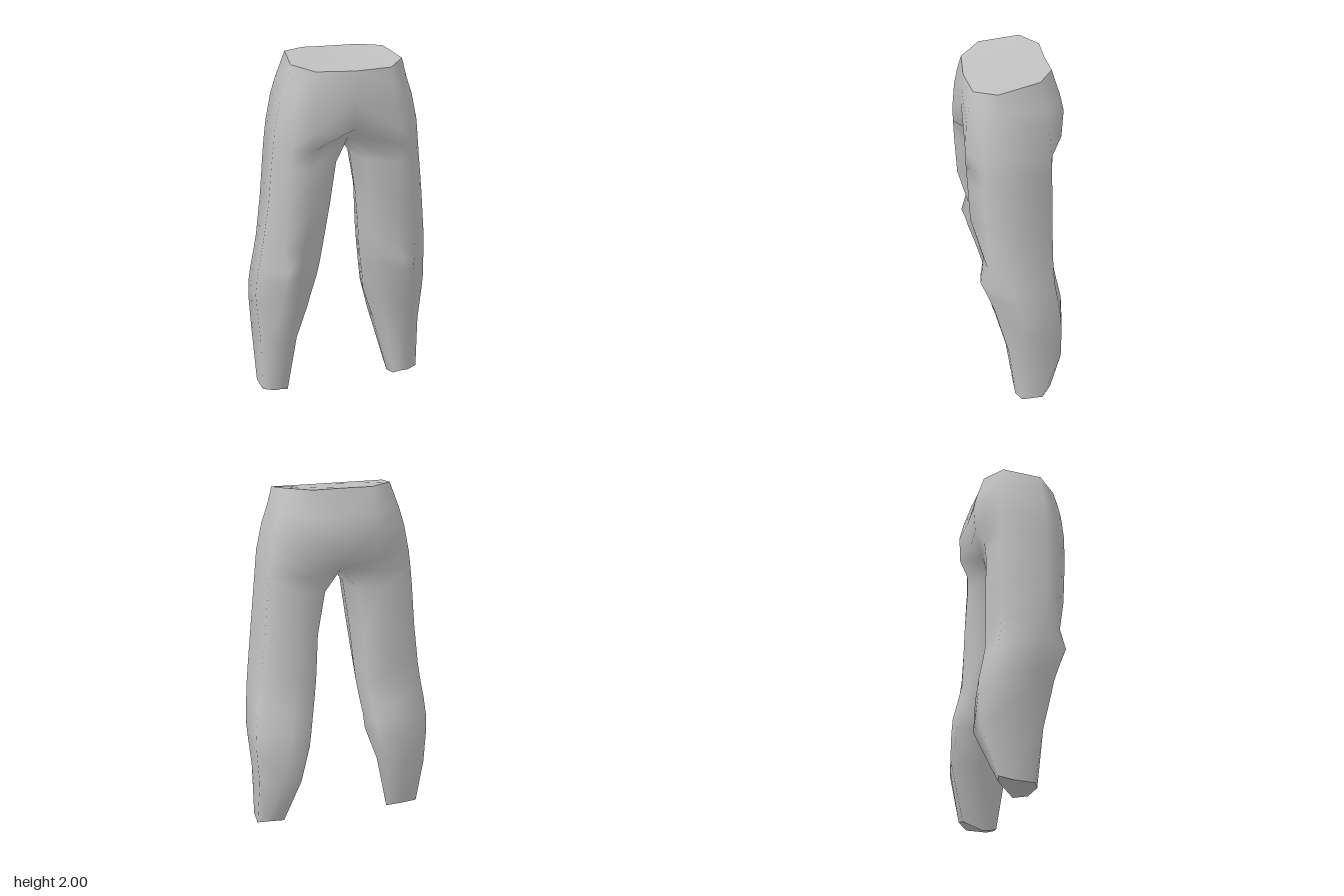
import * as THREE from 'three';
import { mergeVertices } from 'three/addons/utils/BufferGeometryUtils.js';

// Cross-sections of the left half as [x, z] pairs, running
// front centre, front, front outer, outer, back outer, back, back centre (and inner for the leg).
const pelvis = [
  { y: [1.935, 1.94, 1.952, 1.965, 2, 2, 2], p: [0, .235, .21, .215, .262, .16, .315, .105, .285, -.115, .16, -.2, 0, -.195] },
  { y: 1.86, p: [0, .245, .215, .238, .285, .175, .343, .105, .335, -.135, .175, -.245, 0, -.235] },
  { y: 1.77, p: [0, .25, .225, .255, .31, .185, .375, .105, .36, -.15, .18, -.265, 0, -.258] },
  { y: 1.62, p: [0, .235, .238, .267, .34, .19, .408, .105, .388, -.16, .19, -.255, 0, -.235] },
];

const thigh = [
  { y: [1.55, 1.53, 1.53, 1.53, 1.53, 1.53, 1.55, 1.51], p: [0, .12, .24, .266, .345, .19, .417, .105, .4, -.16, .21, -.205, 0, -.16, 0, -.02] },
  { y: 1.43, p: [.085, .17, .25, .262, .35, .19, .428, .1, .41, -.163, .225, -.198, .09, -.165, .055, -.01] },
  { y: 1.19, p: [.12, .165, .25, .25, .37, .175, .452, .1, .43, -.165, .25, -.205, .135, -.175, .09, -.015] },
  { y: .95, p: [.15, .13, .28, .187, .385, .18, .483, .07, .458, -.17, .265, -.208, .145, -.175, .115, -.03] },
];

const calf = [
  { y: .84, p: [.165, .115, .3, .208, .37, .217, .497, .05, .475, -.18, .275, -.21, .155, -.18, .126, -.045] },
  { y: .75, p: [.18, .1, .31, .185, .38, .18, .507, .025, .49, -.195, .29, -.228, .17, -.2, .14, -.06] },
  { y: .64, p: [.205, .075, .31, .15, .39, .14, .515, .01, .503, -.21, .31, -.252, .19, -.23, .16, -.08] },
  { y: .55, p: [.225, .06, .315, .125, .4, .118, .508, .008, .504, -.217, .32, -.256, .205, -.245, .17, -.09] },
  { y: .35, p: [.28, .025, .335, .072, .42, .066, .49, 0, .492, -.22, .36, -.25, .26, -.265, .24, -.11] },
  { y: [.01, .03, .03, .035, .04, .07, .06, 0], p: [.335, .005, .37, .028, .42, .03, .485, 0, .49, -.12, .44, -.175, .385, -.165, .32, -.07] },
];

// Turn a cross-section into points.
function ringPoints({ y, p }) {
  return Array.from({ length: p.length / 2 }, (_, i) =>
    new THREE.Vector3(p[2 * i], Array.isArray(y) ? y[i] : y, p[2 * i + 1]));
}

// Add a triangle for one side (s = 1 left, s = -1 right), keeping it facing outward.
function addTriangle(out, s, a, b, c) {
  const corners = s > 0 ? [a, b, c] : [a, c, b];
  for (const v of corners) out.push(v.x * s, v.y, v.z);
}

// Join welded triangles into a smooth geometry.
function smoothGeometry(positions) {
  const geometry = new THREE.BufferGeometry();
  geometry.setAttribute('position', new THREE.Float32BufferAttribute(positions, 3));
  const welded = mergeVertices(geometry, 1e-4);
  welded.computeVertexNormals();
  return welded;
}

// Fill a loop with a fan around its middle.
function addCap(out, s, loop, up) {
  const middle = new THREE.Vector3();
  loop.forEach(v => middle.addScaledVector(v, 1 / loop.length));
  loop.forEach((v, i) => {
    const next = loop[(i + 1) % loop.length];
    if (up) addTriangle(out, s, middle, v, next);
    else addTriangle(out, s, middle, next, v);
  });
}

export function createModel() {
  const group = new THREE.Group();
  const cloth = new THREE.MeshStandardMaterial({ color: 0xc0c0c0 });
  cloth.name = 'grey cloth';
  const add = (name, positions) => {
    const mesh = new THREE.Mesh(smoothGeometry(positions), cloth);
    mesh.name = name;
    group.add(mesh);
  };

  const rings = [...pelvis, ...thigh, ...calf].map(ringPoints);
  const body = [];
  const waist = [];

  for (const s of [1, -1]) {
    // Hips and leg: open at the middle above the crotch, a closed tube below.
    for (let r = 0; r < rings.length - 1; r++) {
      const upper = rings[r], lower = rings[r + 1];
      const n = upper.length;
      const count = n === 8 ? 8 : 6;
      for (let k = 0; k < count; k++) {
        const j = n === 8 ? (k + 1) % 8 : k + 1;
        addTriangle(body, s, upper[k], lower[k], lower[j]);
        addTriangle(body, s, upper[k], lower[j], upper[j]);
      }
    }
    // Half of the flat waist opening.
    addCap(waist, s, rings[0], true);
    // Sloping ankle end.
    const ankle = [];
    addCap(ankle, s, rings[rings.length - 1], false);
    add(s > 0 ? 'leftAnkleEnd' : 'rightAnkleEnd', ankle);
  }

  add('trousers', body);
  add('waistTop', waist);
  return group;
}
